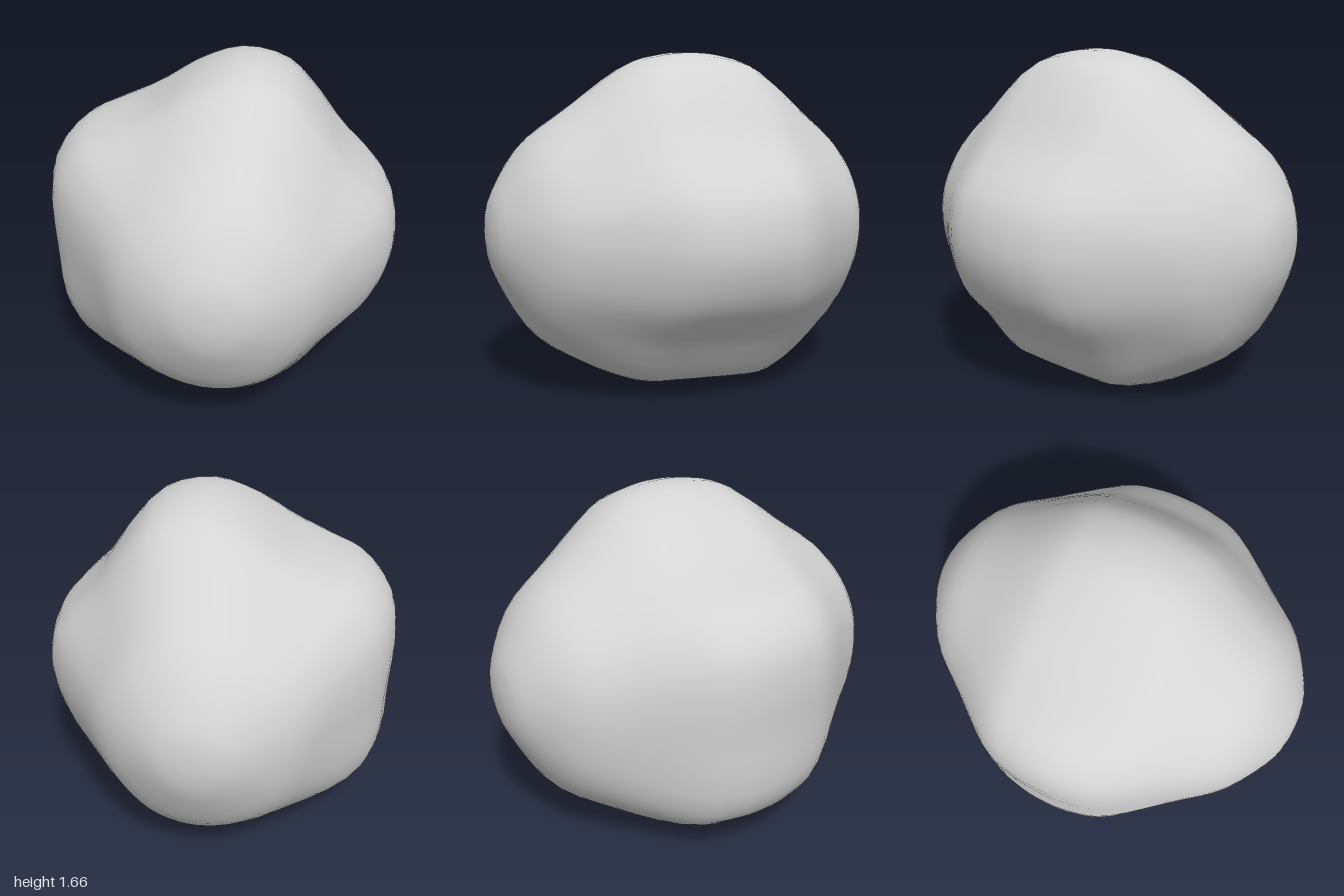
import * as THREE from 'three';
import { mergeVertices } from 'three/addons/utils/BufferGeometryUtils.js';

const CENTRE_Y = 0.78;
const MEAN_RADIUS = 0.87;

// Five-lobed outline of the widest cross-section, counter-clockwise from +x
const outline = new THREE.CatmullRomCurve3([
  [0.87, 0.8], [0.82, 1.0], [0.6, 1.23], [0.46, 1.43], [0.31, 1.59], [0.08, 1.645],
  [-0.14, 1.57], [-0.37, 1.42], [-0.56, 1.345], [-0.72, 1.28], [-0.84, 1.14],
  [-0.875, 0.96], [-0.865, 0.7], [-0.85, 0.41], [-0.77, 0.24], [-0.57, 0.12],
  [-0.28, 0.06], [0.05, 0.004], [0.26, 0.025], [0.42, 0.09], [0.58, 0.3],
  [0.77, 0.48], [0.85, 0.65],
].map(([x, y]) => new THREE.Vector3(x, y - CENTRE_Y, 0)), true, 'centripetal');

// Cross-section scale against depth, from the middle to the front tip, mirrored to the back
const half = [[0, 1], [0.1, 0.995], [0.25, 0.955], [0.5, 0.81], [0.69, 0.6], [0.92, 0.33], [0.985, 0.15]];
const depth = new THREE.SplineCurve([
  ...half, [1, 0], ...half.map(([s, z]) => [s, -z]).reverse(),
].map(([s, z]) => new THREE.Vector2(s, z)));

function rockGeometry() {
  const geometry = new THREE.SphereGeometry(1, 64, 48).rotateX(Math.PI / 2);
  const pos = geometry.attributes.position;
  const p = new THREE.Vector3();
  for (let i = 0; i < pos.count; i++) {
    p.fromBufferAttribute(pos, i);
    const polar = Math.acos(THREE.MathUtils.clamp(p.z, -1, 1)) / Math.PI;
    const turn = (Math.atan2(p.y, p.x) / (2 * Math.PI) + 1) % 1;
    const { x: scale, y: z } = depth.getPoint(polar);
    const zz = Math.min(1, z * z);
    const edge = outline.getPoint(turn);
    // The lobes fade into a round section towards both tips
    const round = edge.clone().setLength(MEAN_RADIUS);
    edge.lerp(round, zz * (2 - zz)).multiplyScalar(scale);
    // The underside is fuller towards both ends, and a little lower at the back
    const swell = zz * (1 - zz) * 0.6 - z * (1 - zz) * 0.08;
    if (edge.y < 0) edge.y *= 1 + swell;
    pos.setXYZ(i, edge.x, CENTRE_Y + edge.y, z);
  }
  // Weld the seam so the shading is smooth all round
  geometry.deleteAttribute('uv');
  geometry.deleteAttribute('normal');
  const welded = mergeVertices(geometry, 1e-4);
  welded.computeVertexNormals();
  return welded;
}

export function createModel() {
  const group = new THREE.Group();
  group.name = 'boulder';
  const stone = new THREE.MeshStandardMaterial({ color: 0xd4d4d4 });
  stone.name = 'grey stone';
  const rock = new THREE.Mesh(rockGeometry(), stone);
  rock.name = 'rock';
  group.add(rock);
  return group;
}
